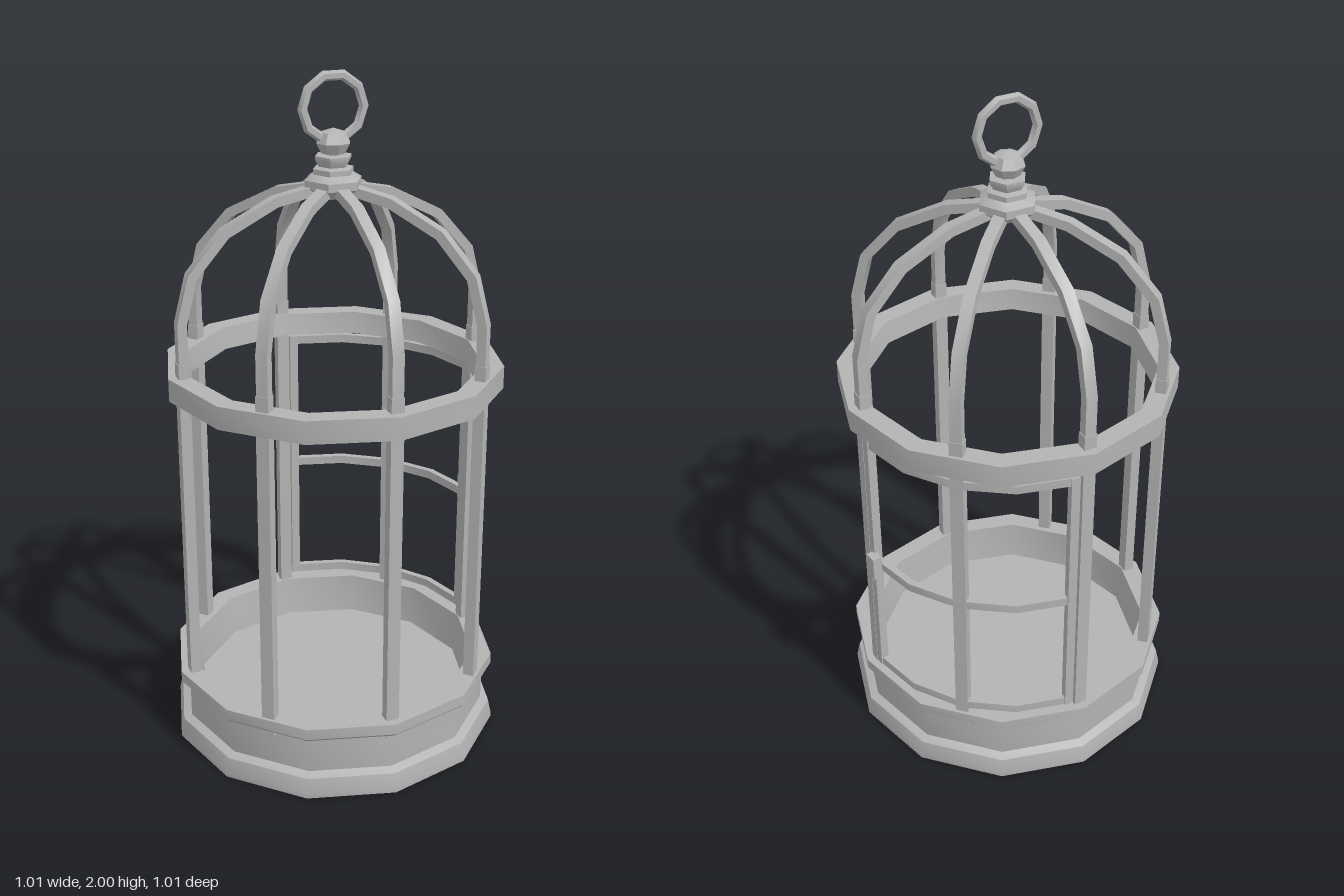
import * as THREE from 'three';
import { toCreasedNormals } from 'three/addons/utils/BufferGeometryUtils.js';

const rad = THREE.MathUtils.degToRad;
const metal = new THREE.MeshStandardMaterial({ color: 0xb3b3b3 });
metal.name = 'grey metal';

function part(name, geometry, parent) {
  const mesh = new THREE.Mesh(toCreasedNormals(geometry, rad(40)), metal);
  mesh.name = name;
  parent.add(mesh);
  return mesh;
}

// Turned part with few sides; profile is listed as [radius, height]
function turned(profile, sides, start = 0) {
  return new THREE.LatheGeometry(profile.map(([r, y]) => new THREE.Vector2(r, y)), sides, start);
}

// Flat strip that follows a path in the XY plane, extruded along z
function strip(path, thickness, depth) {
  const side = (s) => path.map((p, i) => {
    const a = path[Math.max(i - 1, 0)];
    const b = path[Math.min(i + 1, path.length - 1)];
    const t = b.clone().sub(a).normalize();
    return new THREE.Vector2(p.x + t.y * s, p.y - t.x * s);
  });
  const outline = [...side(thickness / 2), ...side(-thickness / 2).reverse()];
  return new THREE.ExtrudeGeometry(new THREE.Shape(outline), { depth, bevelEnabled: false })
    .translate(0, 0, -depth / 2);
}

export function createModel() {
  const cage = new THREE.Group();
  cage.name = 'birdcage';

  // Base tray with stepped foot, rim and sunken floor
  part('baseTray', turned([
    [0, 0], [0.503, 0], [0.503, 0.015], [0.493, 0.06], [0.468, 0.07], [0.468, 0.18],
    [0.485, 0.185], [0.495, 0.195], [0.495, 0.228], [0.435, 0.228], [0.42, 0.105], [0, 0.105],
  ], 12), cage);

  // Band around the bars
  part('middleBand', turned([
    [0.425, 1.11], [0.495, 1.11], [0.495, 1.177], [0.435, 1.177], [0.425, 1.11],
  ], 12), cage);

  // Upright bars and domed ribs
  const R = 0.453;
  const ribPath = [new THREE.Vector2(R, 1.15)];
  for (let i = 0; i <= 3; i++) {
    const a = rad(22.5 * i);
    ribPath.push(new THREE.Vector2(R * Math.cos(a), 1.335 + 0.345 * Math.sin(a)));
  }
  ribPath.push(new THREE.Vector2(0.03, 1.683));
  for (let i = 0; i < 8; i++) {
    const spoke = new THREE.Group();
    spoke.name = 'barAndRib';
    spoke.rotation.y = rad(45 * i);
    part('uprightBar', new THREE.BoxGeometry(0.032, 1.05, 0.038).translate(R, 0.695, 0), spoke);
    part('domeRib', strip(ribPath, 0.028, 0.034), spoke);
    cage.add(spoke);
  }

  // Curved door filling one quarter of the wall
  const door = new THREE.Group();
  door.name = 'door';
  const D = 0.46;
  const arc = [];
  for (let i = 0; i <= 4; i++) {
    const a = rad(5 + 20 * i);
    arc.push(new THREE.Vector2(D * Math.cos(a), D * Math.sin(a)));
  }
  for (const y of [0.257, 0.655, 1.081]) {
    const rail = part('doorRail', strip(arc, 0.02, 0.026).rotateX(-Math.PI / 2), door);
    rail.position.y = y;
  }
  for (const a of [5, 85]) {
    const stile = part('doorStile', new THREE.BoxGeometry(0.024, 0.85, 0.026).translate(D, 0.669, 0), door);
    stile.rotation.y = rad(a);
  }
  const latch = part('doorLatch', new THREE.BoxGeometry(0.03, 0.075, 0.038).translate(0.478, 0.655, 0), door);
  latch.rotation.y = rad(7.5);
  cage.add(door);

  // Six-sided crown where the ribs meet
  part('crown', turned([
    [0, 1.655], [0.05, 1.655], [0.085, 1.682], [0.085, 1.705], [0.06, 1.72], [0.06, 1.735],
    [0.042, 1.74], [0.054, 1.76], [0.054, 1.77], [0, 1.775],
  ], 6, Math.PI / 2), cage);

  // Finial ball and hanging ring
  const ball = part('finialBall', new THREE.SphereGeometry(0.05, 8, 4), cage);
  ball.scale.y = 0.8;
  ball.position.y = 1.805;
  const ring = part('hangingRing', new THREE.TorusGeometry(0.09, 0.0145, 6, 10), cage);
  ring.position.y = 1.9;

  return cage;
}
